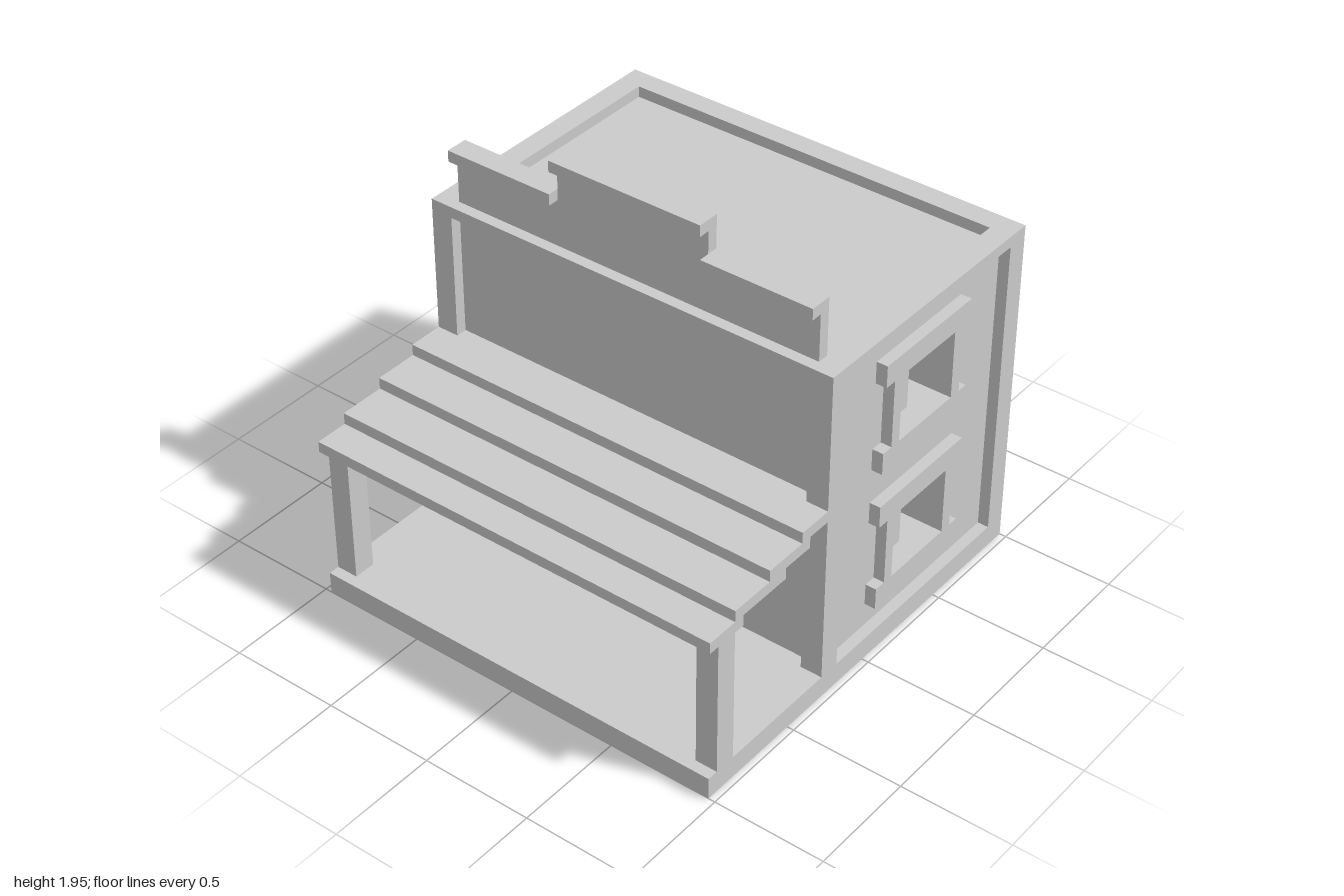
import * as THREE from 'three';

const material = new THREE.MeshStandardMaterial({ color: 0xcccccc, flatShading: true });

// Box given by its limits on each axis
function box(parent, name, [x0, x1], [y0, y1], [z0, z1]) {
  const mesh = new THREE.Mesh(new THREE.BoxGeometry(x1 - x0, y1 - y0, z1 - z0), material);
  mesh.position.set((x0 + x1) / 2, (y0 + y1) / 2, (z0 + z1) / 2);
  mesh.name = name;
  parent.add(mesh);
  return mesh;
}

function rectangle(PathType, u0, u1, v0, v1) {
  const p = new PathType();
  p.moveTo(u0, v0);
  p.lineTo(u1, v0);
  p.lineTo(u1, v1);
  p.lineTo(u0, v1);
  p.closePath();
  return p;
}

function plate(name, outer, holes, depth) {
  const shape = rectangle(THREE.Shape, ...outer);
  for (const h of holes) shape.holes.push(rectangle(THREE.Path, ...h));
  const mesh = new THREE.Mesh(new THREE.ExtrudeGeometry(shape, { depth, bevelEnabled: false }), material);
  mesh.name = name;
  return mesh;
}

// Window surround: lintel, sill, jambs and an inset mullion; y is the sill's underside
function makeWindow(y) {
  const g = new THREE.Group();
  g.name = 'window';
  const out = [0.92, 0.97];
  box(g, 'sill', out, [y, y + 0.1], [-0.64, -0.075]);
  box(g, 'lintel', out, [y + 0.41, y + 0.51], [-0.64, -0.075]);
  box(g, 'frontJamb', out, [y + 0.1, y + 0.41], [-0.18, -0.13]);
  box(g, 'backJamb', out, [y + 0.1, y + 0.41], [-0.59, -0.535]);
  box(g, 'mullion', [0.82, 0.87], [y + 0.1, y + 0.41], [-0.38, -0.335]);
  return g;
}

export function createModel() {
  const model = new THREE.Group();
  model.name = 'storefront';
  const width = [-0.97, 0.97];
  const windowBases = [0.21, 0.88];

  // Base slab and building body
  box(model, 'base', width, [0, 0.1], [-1, 1]);
  box(model, 'body', [-0.97, 0.77], [0.1, 1.49], [-1, 0.23]);

  // Side wall with window openings, set back inside its border
  const holes = windowBases.map(y => [0.18, 0.535, y + 0.1, y + 0.41]);
  const wall = plate('windowWall', [-0.23, 1, 0.1, 1.49], holes, 0.15);
  wall.rotation.y = Math.PI / 2;
  wall.position.x = 0.77;
  model.add(wall);
  for (const y of windowBases) model.add(makeWindow(y));

  // Corner posts framing the recessed walls
  box(model, 'cornerPost', [0.87, 0.97], [0.1, 1.49], [0.18, 0.28]);
  box(model, 'cornerPost', [-0.97, -0.87], [0.1, 1.49], [0.18, 0.28]);
  box(model, 'backCornerPost', [0.87, 0.97], [0.1, 1.49], [-1, -0.9]);

  // Raised rim around the flat roof
  const rim = plate('roofRim', [-0.97, 0.97, -0.28, 1], [[-0.87, 0.87, -0.18, 0.9]], 0.05);
  rim.rotation.x = -Math.PI / 2;
  rim.position.y = 1.49;
  model.add(rim);

  // Stepped false front with projecting caps
  const parapet = new THREE.Group();
  parapet.name = 'falseFront';
  model.add(parapet);
  box(parapet, 'parapetWall', [-0.87, 0.87], [1.54, 1.75], [0.18, 0.23]);
  box(parapet, 'parapetCentre', [-0.36, 0.36], [1.75, 1.9], [0.18, 0.23]);
  box(parapet, 'centreCap', [-0.36, 0.36], [1.9, 1.95], [0.18, 0.28]);
  box(parapet, 'sideCap', [0.36, 0.87], [1.75, 1.8], [0.18, 0.28]);
  box(parapet, 'sideCap', [-0.87, -0.36], [1.75, 1.8], [0.18, 0.28]);

  // Porch roof of overlapping boards: [bottom, top, back, front]
  const boards = [
    [0.72, 0.77, 0.8, 1],
    [0.77, 0.822, 0.54, 0.85],
    [0.822, 0.874, 0.39, 0.64],
    [0.874, 0.925, 0.23, 0.44],
  ];
  for (const [y0, y1, z0, z1] of boards) box(model, 'porchRoofBoard', width, [y0, y1], [z0, z1]);

  // Porch posts
  for (const x of [-0.97, 0.87]) box(model, 'porchPost', [x, x + 0.1], [0.1, 0.72], [0.85, 0.95]);

  return model;
}
